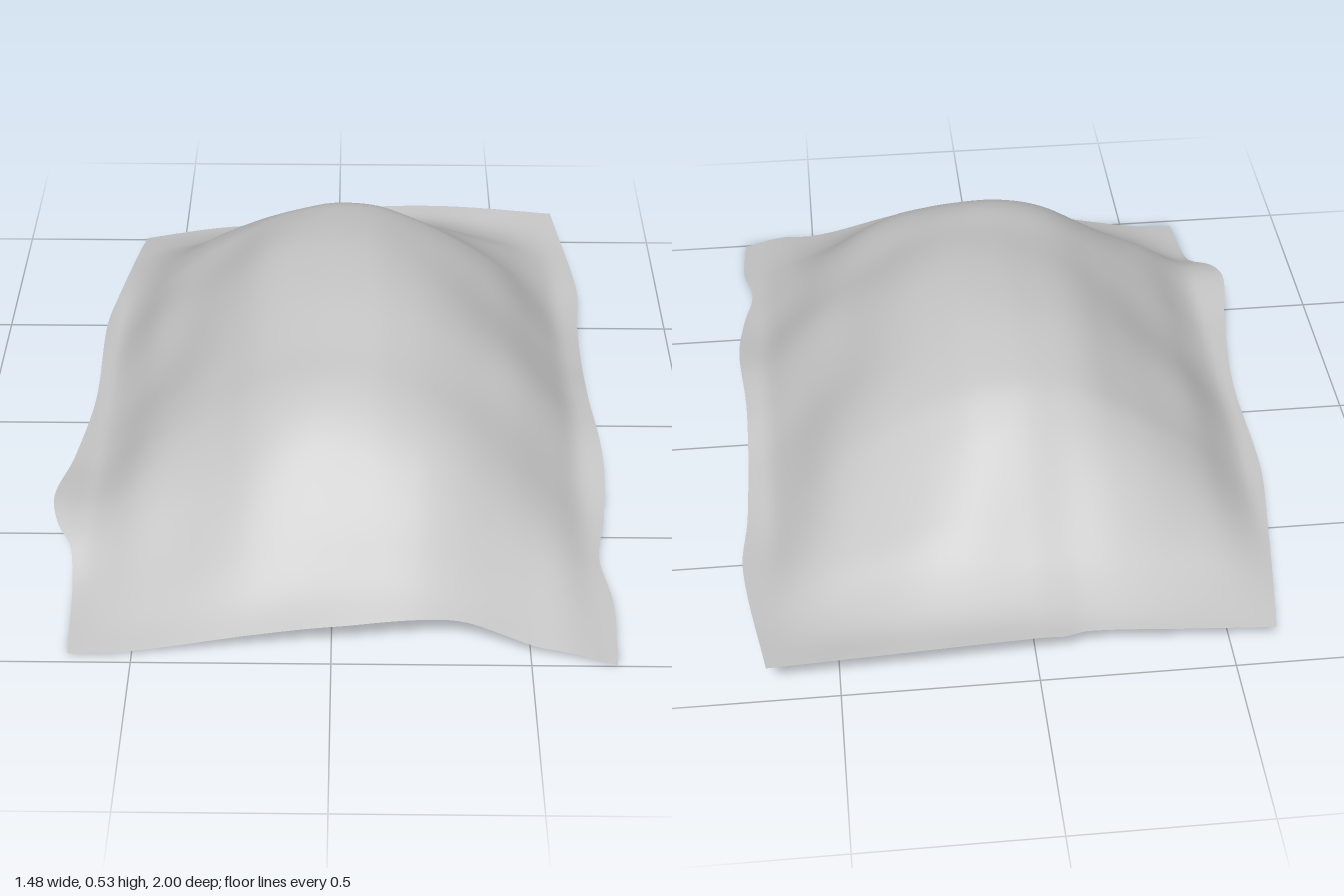
import * as THREE from 'three';

// Smooth function through [position, value] points (cubic Hermite).
function smooth(pts) {
  const n = pts.length;
  const slope = (i) => {
    const a = pts[Math.max(0, i - 1)], b = pts[Math.min(n - 1, i + 1)];
    return (b[1] - a[1]) / (b[0] - a[0]);
  };
  return (t) => {
    let i = 0;
    while (i < n - 2 && t > pts[i + 1][0]) i++;
    const [x0, y0] = pts[i], [x1, y1] = pts[i + 1], w = x1 - x0;
    const s = Math.min(1, Math.max(0, (t - x0) / w)), s2 = s * s, s3 = s2 * s;
    return y0 * (2 * s3 - 3 * s2 + 1) + y1 * (3 * s2 - 2 * s3)
      + w * (slope(i) * (s3 - 2 * s2 + s) + slope(i + 1) * (s3 - s2));
  };
}

// Wavy outline of the cloth: side edges by z, end edges by x.
const leftHemX = smooth([[-1, -0.615], [-0.6, -0.665], [-0.4, -0.685], [0, -0.68], [0.3, -0.71],
  [0.5, -0.74], [0.6, -0.72], [0.67, -0.68], [1, -0.66]]);
const rightHemX = smooth([[-1, 0.68], [-0.6, 0.735], [-0.4, 0.72], [0, 0.715], [0.3, 0.735],
  [0.5, 0.72], [0.65, 0.695], [0.8, 0.72], [1, 0.715]]);
const backHemZ = smooth([[-0.7, -0.92], [-0.4, -0.94], [-0.13, -0.945], [-0.05, -0.975], [0.3, -1], [0.72, -0.995]]);
const frontHemZ = smooth([[-0.7, 0.97], [0, 0.98], [0.2, 0.965], [0.35, 0.95], [0.6, 0.99], [0.72, 0.997]]);

// Height of each hem.
const leftHemY = smooth([[-1, 0.035], [-0.8, 0.07], [-0.5, 0.1], [0, 0.105], [0.3, 0.11], [0.5, 0.13],
  [0.6, 0.11], [0.75, 0.04], [1, 0.003]]);
const rightHemY = smooth([[-1, 0.115], [-0.8, 0.095], [-0.5, 0.08], [-0.2, 0.095], [0, 0.12], [0.2, 0.12],
  [0.5, 0.07], [0.75, 0.04], [1, 0.003]]);
const backHemY = smooth([[-0.66, 0.035], [-0.4, 0.08], [-0.13, 0.11], [0, 0.135], [0.3, 0.14], [0.7, 0.115]]);
const frontHemY = smooth([[-0.66, 0.003], [-0.55, 0.005], [-0.4, 0.03], [-0.2, 0.07], [0, 0.1], [0.2, 0.105],
  [0.3, 0.09], [0.5, 0.04], [0.6, 0.035], [0.72, 0.003]]);

// Swell of the hump across and along the cloth.
const humpX = smooth([[-0.7, 0], [-0.63, 0], [-0.5, 0.35], [-0.4, 0.56], [-0.3, 0.76], [-0.2, 0.93], [-0.1, 0.995],
  [0.1, 0.99], [0.2, 0.91], [0.3, 0.79], [0.4, 0.63], [0.5, 0.43], [0.6, 0.14], [0.66, 0], [0.72, 0]]);
const humpZ = smooth([[-1, 0], [-0.9, 0], [-0.8, 0.13], [-0.7, 0.37], [-0.6, 0.59], [-0.5, 0.78], [-0.4, 0.92],
  [-0.2, 1], [0, 0.96], [0.2, 0.89], [0.4, 0.8], [0.5, 0.73], [0.6, 0.63], [0.7, 0.48], [0.8, 0.28], [0.9, 0.1], [1, 0]]);

const lerp = THREE.MathUtils.lerp;

function drapeGeometry() {
  const g = new THREE.PlaneGeometry(1, 1, 72, 100).rotateX(-Math.PI / 2);
  const p = g.attributes.position;
  for (let i = 0; i < p.count; i++) {
    const u = p.getX(i) + 0.5, v = p.getZ(i) + 0.5;
    const zn = v * 2 - 1;
    const x = lerp(leftHemX(zn), rightHemX(zn), u);
    const z = lerp(backHemZ(x), frontHemZ(x), v);
    // Blend the four hems into a base surface
    const corners = lerp(lerp(0.035, 0.115, u), 0.003, v);
    const base = lerp(leftHemY(z), rightHemY(z), u) + lerp(backHemY(x), frontHemY(x), v) - corners;
    // Soft folds that fade out on the hump and at the hem
    const nearHem = 16 * u * (1 - u) * v * (1 - v);
    const fold = 0.012 * Math.sin(nearHem * Math.PI) * Math.sin(11 * z + 5 * x) * Math.sin(9 * x - 3 * z);
    p.setXYZ(i, x, Math.max(0, base + 0.355 * humpX(x) * humpZ(z) + fold), z);
  }
  g.computeVertexNormals();
  return g;
}

export function createModel() {
  const group = new THREE.Group();
  group.name = 'drapedCloth';
  const fabric = new THREE.MeshStandardMaterial({ color: 0xc6c6c6, side: THREE.DoubleSide });
  fabric.name = 'light grey fabric';
  const cloth = new THREE.Mesh(drapeGeometry(), fabric);
  cloth.name = 'clothSheet';
  group.add(cloth);
  return group;
}
